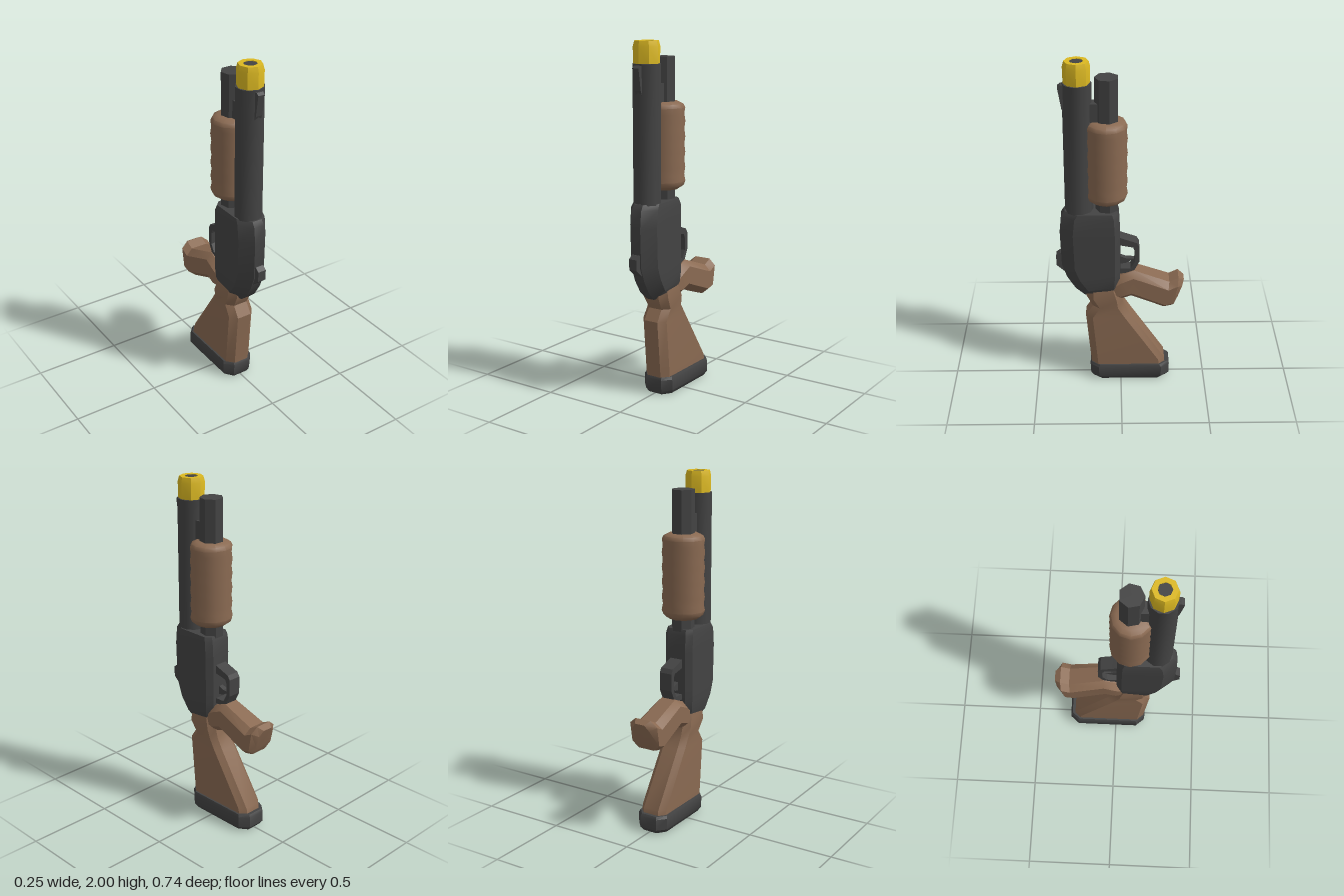
import * as THREE from 'three';
import { toCreasedNormals } from 'three/addons/utils/BufferGeometryUtils.js';

const material = (name, color) => {
  const m = new THREE.MeshStandardMaterial({ color });
  m.name = name;
  return m;
};

// Chamfered body through rings [yA, zA, yB, zB, halfWidth]; A is the rear edge, B the front edge.
function loft(rings, chamferA, chamferB, endA, endB) {
  const pos = [], index = [], n = 8;
  for (const [ya, za, yb, zb, w] of rings) {
    const len = Math.hypot(yb - ya, zb - za);
    const half = [[endA * w, 0], [w, chamferA / len], [w, 1 - chamferB / len], [endB * w, 1]];
    const loop = [...half, ...half.map(([x, t]) => [-x, t]).reverse()];
    for (const [x, t] of loop) pos.push(x, ya + (yb - ya) * t, za + (zb - za) * t);
  }
  for (let r = 0; r < rings.length - 1; r++) {
    for (let i = 0; i < n; i++) {
      const a = r * n + i, b = r * n + (i + 1) % n;
      index.push(a, a + n, b, a + n, b + n, b);
    }
  }
  const top = (rings.length - 1) * n;
  for (let i = 1; i < n - 1; i++) index.push(0, i, i + 1, top, top + i + 1, top + i);
  const g = new THREE.BufferGeometry();
  g.setAttribute('position', new THREE.Float32BufferAttribute(pos, 3));
  g.setIndex(index);
  return toCreasedNormals(g, 0.6);
}

// Flat plate from a (z, y) outline, centred on x = 0.
function plate(outline, width, hole) {
  const shape = new THREE.Shape(outline.map(p => new THREE.Vector2(...p)));
  if (hole) shape.holes.push(new THREE.Path(hole.map(p => new THREE.Vector2(...p))));
  return new THREE.ExtrudeGeometry(shape, { depth: width, bevelEnabled: false })
    .translate(0, 0, -width / 2).rotateY(-Math.PI / 2);
}

// Upright tube between two heights.
const rod = (r, y0, y1, z, sides) => toCreasedNormals(
  new THREE.CylinderGeometry(r, r, y1 - y0, sides).translate(0, (y0 + y1) / 2, z), 0.7);

export function createModel() {
  const group = new THREE.Group();
  const metal = material('dark metal', 0x434343);
  const wood = material('brown wood', 0x8a6a52);
  const yellow = material('yellow', 0xdcb922);
  const add = (name, geometry, mat) => {
    const mesh = new THREE.Mesh(geometry, mat);
    mesh.name = name;
    group.add(mesh);
    return mesh;
  };

  // Butt pad and stock
  add('buttPad', loft([
    [0, -0.27, 0, 0.165, 0.08], [0.025, -0.29, 0.025, 0.18, 0.096],
    [0.09, -0.29, 0.09, 0.183, 0.096], [0.105, -0.28, 0.105, 0.175, 0.09],
  ], 0.05, 0.05, 0.55, 0.55), metal);
  add('stock', loft([
    [0.09, -0.265, 0.09, 0.175, 0.08], [0.135, -0.258, 0.135, 0.178, 0.081],
    [0.44, -0.058, 0.44, 0.205, 0.08], [0.505, -0.018, 0.505, 0.163, 0.078],
    [0.56, -0.01, 0.58, 0.2, 0.088], [0.66, 0.02, 0.66, 0.2, 0.075],
  ], 0.035, 0.04, 0.6, 0.55), wood);

  // Pistol grip, lofted rearward
  add('grip', loft([
    [0.56, 0.06, 0.67, 0.06, 0.07], [0.555, 0, 0.715, 0, 0.083],
    [0.575, -0.06, 0.745, -0.075, 0.08], [0.5, -0.25, 0.67, -0.28, 0.09],
    [0.512, -0.3, 0.695, -0.332, 0.09], [0.54, -0.318, 0.675, -0.365, 0.055],
  ], 0.035, 0.035, 0.55, 0.55), wood);

  // Receiver with narrowed front ridge
  add('receiver', loft([
    [0.62, 0.02, 0.572, 0.21, 0.072], [0.655, 0.01, 0.62, 0.262, 0.085],
    [0.72, 0.005, 0.7, 0.31, 0.09], [0.78, 0.005, 0.78, 0.338, 0.09],
    [1.0, 0.005, 1.0, 0.345, 0.09], [1.1, 0.01, 1.1, 0.335, 0.09],
    [1.13, 0.02, 1.13, 0.315, 0.084],
  ], 0.03, 0.075, 0.65, 0.35), metal);
  add('rearSight', plate([
    [0.32, 0.73], [0.37, 0.775], [0.37, 0.835], [0.345, 0.855], [0.32, 0.855],
  ], 0.05), metal);

  // Trigger and guard
  add('triggerGuard', plate(
    [[0.03, 0.97], [-0.02, 0.95], [-0.09, 0.925], [-0.105, 0.9], [-0.105, 0.8], [-0.07, 0.73], [0.03, 0.72]],
    0.078,
    [[0.003, 0.91], [-0.07, 0.895], [-0.08, 0.87], [-0.08, 0.8], [-0.055, 0.755], [0.003, 0.755]],
  ), metal);
  add('trigger', plate([[0.02, 0.83], [-0.03, 0.81], [-0.075, 0.808], [-0.03, 0.78], [0.02, 0.77]], 0.03), metal);

  // Barrel, front sight and magazine tube
  add('barrel', rod(0.079, 1.1, 1.88, 0.233, 10), metal);
  add('frontSight', plate([[0.29, 1.68], [0.315, 1.74], [0.335, 1.86], [0.32, 1.872], [0.29, 1.872]], 0.04), metal);
  add('magazineTube', rod(0.066, 1.1, 1.91, 0.075, 7), metal);
  add('barrelBand', new THREE.BoxGeometry(0.07, 0.12, 0.1).translate(0, 1.71, 0.15), metal);

  // Muzzle ring and bore
  const muzzle = [[0.072, 1.87], [0.074, 1.97], [0.066, 2], [0.038, 2], [0.036, 1.97]];
  add('muzzle', toCreasedNormals(new THREE.LatheGeometry(
    muzzle.map(p => new THREE.Vector2(...p)), 8).translate(0, 0, 0.233), 0.6), yellow);
  add('bore', rod(0.041, 1.88, 1.997, 0.233, 5), metal);

  // Ribbed pump handle
  const pump = [[0, 1.185], [0.085, 1.185], [0.115, 1.205], [0.124, 1.23]];
  for (let i = 0; i < 9; i++) pump.push([i % 2 ? 0.123 : 0.117, 1.265 + i * 0.042]);
  pump.push([0.122, 1.635], [0.112, 1.655], [0.085, 1.668], [0, 1.668]);
  add('pumpHandle', toCreasedNormals(new THREE.LatheGeometry(
    pump.map(p => new THREE.Vector2(...p)), 12).scale(1, 1, 0.95).translate(0, 0, 0.079), 0.7), wood);

  return group;
}
